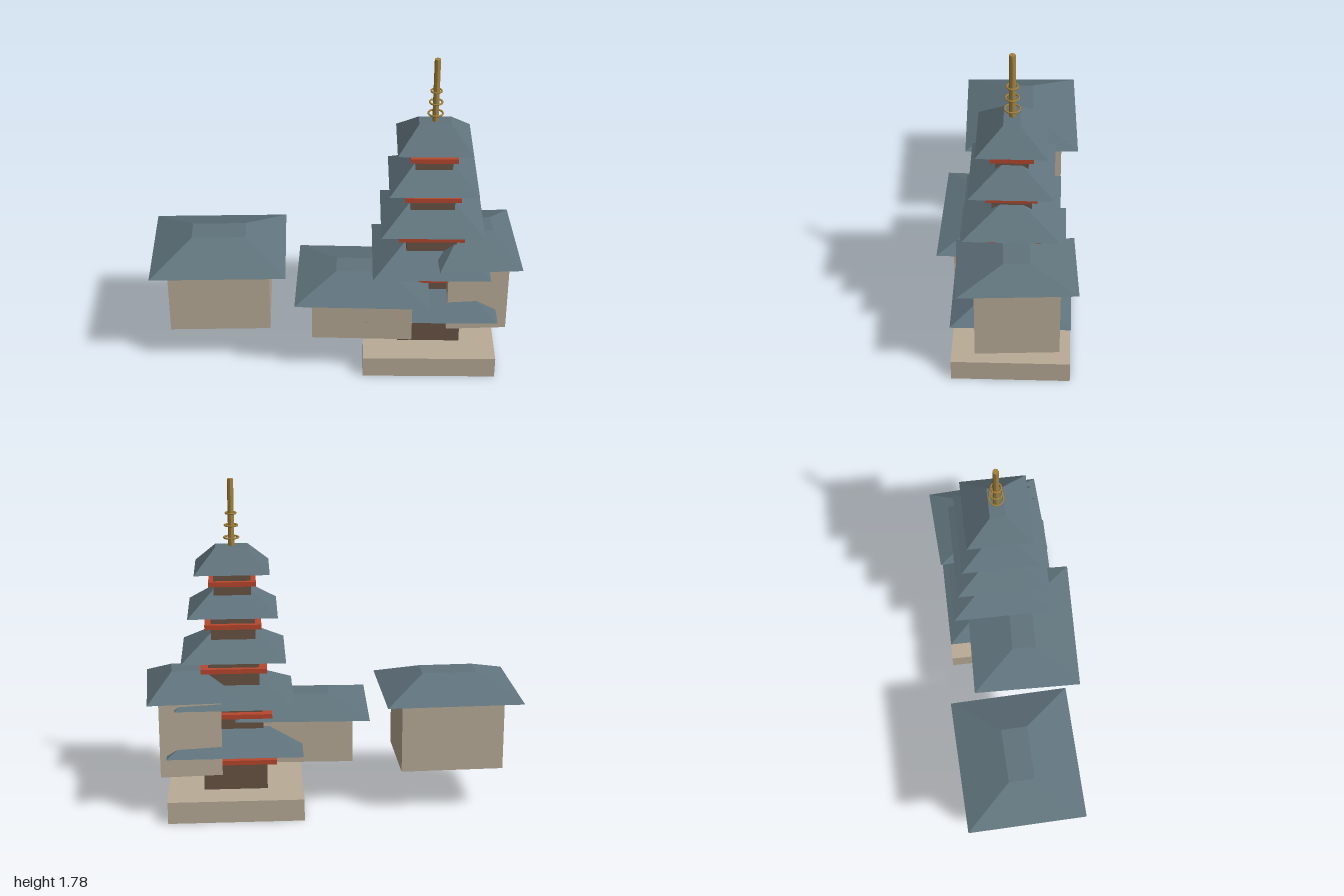
import * as THREE from 'three';

const mat = (name, color) => {
  const m = new THREE.MeshStandardMaterial({ color });
  m.name = name;
  return m;
};

export function createModel() {
  const plaster = mat('plaster', 0xb9ac98);
  const slate = mat('slate', 0x60737c);
  const wood = mat('dark wood', 0x6a5445);
  const red = mat('red lacquer', 0xb8472e);
  const gold = mat('gold', 0xa3823c);

  const add = (parent, name, geo, material, y) => {
    const mesh = new THREE.Mesh(geo, material);
    mesh.name = name;
    mesh.position.y = y;
    parent.add(mesh);
  };

  // Box standing between two heights
  const block = (parent, name, w, d, y0, y1, material) =>
    add(parent, name, new THREE.BoxGeometry(w, y1 - y0, d), material, (y0 + y1) / 2);

  // Hipped roof: a box whose top face is drawn in to a narrow flat ridge
  const roof = (parent, name, w, d, y0, y1, kx, kz) => {
    const geo = new THREE.BoxGeometry(w, y1 - y0, d);
    const p = geo.attributes.position;
    for (let i = 0; i < p.count; i++) {
      if (p.getY(i) > 0) p.setXYZ(i, p.getX(i) * kx, p.getY(i), p.getZ(i) * kz);
    }
    geo.computeVertexNormals();
    add(parent, name, geo, slate, (y0 + y1) / 2);
  };

  const place = (name, x, z, turn) => {
    const g = new THREE.Group();
    g.name = name;
    g.position.set(x, 0, z);
    g.rotation.y = turn;
    return g;
  };

  const model = new THREE.Group();
  model.name = 'templeCompound';

  // Side halls: wall block under a hipped roof
  const halls = [
    { name: 'rightHall', x: -0.625, z: -0.015, turn: 0.055, body: [0.543, 0.45], roof: [0.72, 0.63], y: [0.24, 0.63, 0.735] },
    { name: 'middleHall', x: 0.157, z: 0.078, turn: 0, body: [0.535, 0.42], roof: [0.71, 0.585], y: [0.255, 0.515, 0.592] },
    { name: 'leftHall', x: 0.76, z: -0.06, turn: 0.08, body: [0.325, 0.43], roof: [0.44, 0.605], y: [0.24, 0.672, 0.776] },
  ];
  for (const h of halls) {
    const g = place(h.name, h.x, h.z, h.turn);
    block(g, 'hallWalls', ...h.body, h.y[0], h.y[1], plaster);
    roof(g, 'hallRoof', ...h.roof, h.y[1], h.y[2], 0.4, 0.22);
    model.add(g);
  }

  // Pagoda: plinth, five shrinking storeys, spire
  const pagoda = place('pagoda', 0.518, -0.027, 0.024);
  block(pagoda, 'plinth', 0.72, 0.618, 0, 0.12, plaster);

  // wall, band and roof sizes, then wall base, band centre, eave and ridge heights
  const storeys = [
    { wall: [0.338, 0.288], band: [0.44, 0.38], roof: [0.715, 0.615], y: [0.12, 0.288, 0.36, 0.48] },
    { wall: [0.3, 0.262], band: [0.395, 0.34], roof: [0.625, 0.55], y: [0.46, 0.54, 0.612, 0.73] },
    { wall: [0.267, 0.24], band: [0.348, 0.296], roof: [0.543, 0.487], y: [0.7, 0.785, 0.857, 0.972] },
    { wall: [0.232, 0.2], band: [0.296, 0.255], roof: [0.465, 0.423], y: [0.94, 1.02, 1.09, 1.203] },
    { wall: [0.194, 0.164], band: [0.246, 0.215], roof: [0.388, 0.35], y: [1.18, 1.245, 1.31, 1.428] },
  ];
  storeys.forEach((s, i) => {
    const g = new THREE.Group();
    g.name = `storey${i + 1}`;
    block(g, 'storeyWalls', ...s.wall, s.y[0], s.y[2], wood);
    block(g, 'balconyBand', ...s.band, s.y[1] - 0.0125, s.y[1] + 0.0125, red);
    roof(g, 'storeyRoof', ...s.roof, s.y[2], s.y[3], 0.43, 0.24);
    pagoda.add(g);
  });

  // Spire with three rings
  const mast = new THREE.CylinderGeometry(0.016, 0.016, 0.355, 8).toNonIndexed();
  mast.computeVertexNormals();
  add(pagoda, 'spire', mast, gold, 1.6);
  [0.038, 0.033, 0.027].forEach((r, i) => {
    const ring = new THREE.TorusGeometry(r, 0.005, 6, 16);
    ring.rotateX(Math.PI / 2);
    add(pagoda, 'spireRing', ring, gold, 1.471 + i * 0.064);
  });
  model.add(pagoda);

  return model;
}
